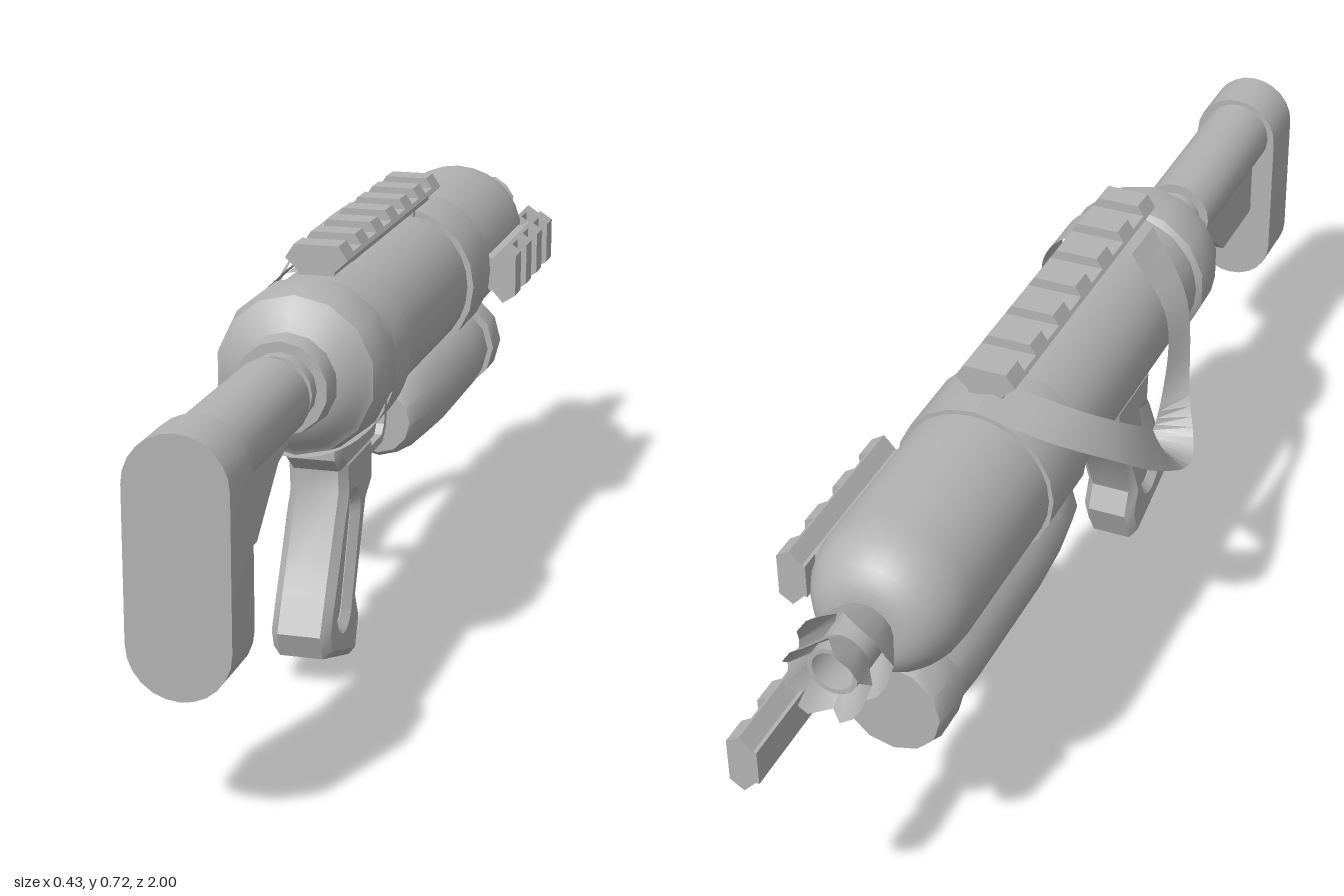
import * as THREE from 'three';
import { toCreasedNormals } from 'three/addons/utils/BufferGeometryUtils.js';

const CX = 0.025, AXIS_Y = 0.54;

export function createModel() {
  const model = new THREE.Group();
  const grey = new THREE.MeshStandardMaterial({ color: 0xb3b3b3 });
  grey.name = 'grey';
  grey.side = THREE.DoubleSide;

  const add = (name, geometry, x = 0, y = 0, z = 0, parent = model) => {
    const mesh = new THREE.Mesh(toCreasedNormals(geometry, 0.62), grey);
    mesh.name = name;
    mesh.position.set(x, y, z);
    parent.add(mesh);
    return mesh;
  };

  // Turned part along z; profile holds [radius, z] with z rising
  const turned = (name, profile, sides, y = AXIS_Y) => {
    const g = new THREE.LatheGeometry(profile.map(p => new THREE.Vector2(...p)), sides);
    g.rotateX(Math.PI / 2);
    return add(name, g, CX, y);
  };

  // Side outline of [z, y] points, given a width across x
  const outline = pts => new THREE.Shape(pts.map(p => new THREE.Vector2(...p)));
  const slab = (name, shape, width, bevel = 0) => {
    const depth = width - 2 * bevel;
    const g = new THREE.ExtrudeGeometry(shape, {
      depth, bevelEnabled: bevel > 0, bevelSize: bevel, bevelOffset: -bevel,
      bevelThickness: bevel, bevelSegments: 1, curveSegments: 8,
    });
    g.translate(0, 0, -depth / 2);
    g.rotateY(-Math.PI / 2);
    return add(name, g, CX);
  };

  // Upright or slanted capsule outline between two centres
  const capsule = (T, x0, y0, x1, y1, r) => {
    const a = Math.atan2(y1 - y0, x1 - x0);
    const s = new T();
    s.absarc(x1, y1, r, a - Math.PI / 2, a + Math.PI / 2, false);
    s.absarc(x0, y0, r, a + Math.PI / 2, a + Math.PI * 1.5, false);
    s.closePath();
    return s;
  };

  // Main barrel, front band and domed tank
  turned('body', [[0, -0.22], [0.127, -0.22], [0.127, 0.36], [0, 0.36]], 28);
  turned('frontBand', [[0.126, -0.34], [0.138, -0.34], [0.138, -0.2], [0.126, -0.2]], 20);
  const tank = [[0, -0.735], [0.05, -0.735]];
  for (let i = 1; i <= 7; i++) {
    const a = (i / 7) * Math.PI / 2;
    tank.push([0.05 + 0.08 * Math.sin(a), -0.625 - 0.11 * Math.cos(a)]);
  }
  tank.push([0.13, -0.32]);
  turned('tank', tank, 28);

  // Rear collar, stepped neck and stock tube
  turned('rearCollar', [[0.125, 0.33], [0.139, 0.34], [0.139, 0.39], [0.13, 0.435], [0.12, 0.44],
    [0.105, 0.46], [0.08, 0.472], [0.075, 0.51], [0, 0.51]], 14);
  turned('neck', [[0.058, 0.5], [0.058, 0.535], [0.047, 0.535], [0.047, 0.58]], 16);
  turned('stockTube', [[0, 0.565], [0.064, 0.565], [0.064, 0.91], [0, 0.91]], 20);

  // Shoulder stock
  slab('stockWeb', outline([[0.91, 0.374], [0.743, 0.374], [0.636, 0.462], [0.58, 0.478],
    [0.58, 0.51], [0.91, 0.51]]), 0.07);
  const butt = new THREE.ExtrudeGeometry(capsule(THREE.Shape, 0, 0.3, 0, 0.534, 0.079),
    { depth: 0.1, bevelEnabled: false, curveSegments: 6 });
  add('buttPlate', butt, CX + 0.002, 0, 0.9);

  // Flared muzzle: two jagged open funnels
  const funnel = (name, z, length, r0, r1, jag) => {
    const g = new THREE.CylinderGeometry(r0, r1, length, 16, 1, true);
    const p = g.attributes.position;
    for (let i = 0; i < p.count; i++) {
      if (p.getY(i) < 0 && Math.round((Math.atan2(p.getX(i), p.getZ(i)) / Math.PI) * 8) % 4 === 0) {
        p.setY(i, p.getY(i) + jag);
      }
    }
    g.rotateX(Math.PI / 2);
    g.computeVertexNormals();
    add(name, g, CX, AXIS_Y, z);
  };
  turned('muzzleTube', [[0.034, -0.84], [0.042, -0.84], [0.042, -0.72]], 16);
  funnel('muzzleFlare', -0.77, 0.08, 0.046, 0.078, 0.015);
  funnel('muzzleCrown', -0.84, 0.07, 0.042, 0.068, 0.03);

  // Accessory rails with evenly spaced teeth
  const rail = (name, teeth, x, y, z, sideways) => {
    const group = new THREE.Group();
    group.name = name;
    const bar = (part, pts, length, z0) => add(part, new THREE.ExtrudeGeometry(outline(pts),
      { depth: length, bevelEnabled: false }), 0, 0, z0, group);
    const pitch = 0.094, tooth = 0.046;
    bar('railBase', [[-0.03, -0.006], [0.03, -0.006], [0.03, 0], [0.052, 0.02],
      [0.048, 0.026], [-0.048, 0.026], [-0.052, 0.02], [-0.03, 0]], pitch * (teeth - 1) + tooth, 0);
    for (let i = 0; i < teeth; i++) {
      bar('railTooth', [[-0.052, 0.02], [0.052, 0.02], [0.037, 0.043], [-0.037, 0.043]], tooth, i * pitch);
    }
    group.position.set(x, y, z);
    if (sideways) group.rotation.z = -Math.PI / 2;
    model.add(group);
  };
  rail('topRail', 7, CX + 0.002, 0.681, -0.288, false);
  rail('sideRail', 4, 0.167, 0.533, -0.663, true);
  rail('frontRail', 4, 0.073, 0.47, -1, true);
  for (const z of [-0.22, 0.25]) add('railMount', new THREE.BoxGeometry(0.06, 0.04, 0.06), CX, 0.665, z);
  add('sideRailMount', new THREE.BoxGeometry(0.03, 0.06, 0.28), 0.157, 0.533, -0.49);

  // Canister slung below the tank
  turned('canister', [[0, -0.59], [0.079, -0.59], [0.084, -0.5], [0.084, -0.25], [0.078, -0.15],
    [0.066, -0.07], [0.058, -0.06], [0, -0.06]], 12, 0.322);
  turned('canisterCap', [[0, -0.665], [0.084, -0.665], [0.09, -0.65], [0.09, -0.585], [0, -0.585]], 12, 0.326);
  add('canisterMount', new THREE.BoxGeometry(0.05, 0.06, 0.4), CX, 0.405, -0.35);

  // Pistol grip with a sunken slot on both sides
  slab('gripBlock', outline([[0.345, 0.43], [0.12, 0.43], [0.12, 0.375], [0.14, 0.35],
    [0.32, 0.35], [0.345, 0.375]]), 0.1, 0.012);
  const gripShape = outline([[0.32, 0.37], [0.15, 0.37], [0.15, 0.285], [0.19, 0.26], [0.25, 0.12],
    [0.23, 0.075], [0.257, 0.008], [0.41, 0.058], [0.425, 0.1], [0.395, 0.16], [0.315, 0.31]]);
  gripShape.holes.push(capsule(THREE.Path, 0.328, 0.12, 0.275, 0.265, 0.03));
  slab('grip', gripShape, 0.1, 0.014);
  slab('gripSlotFloor', capsule(THREE.Shape, 0.328, 0.12, 0.275, 0.265, 0.045), 0.07);

  // Trigger and its guard
  slab('guardPlate', outline([[0.13, 0.4], [-0.06, 0.4], [-0.06, 0.425], [0.13, 0.425]]), 0.05);
  slab('triggerGuard', outline([[0.125, 0.41], [0.112, 0.32], [0.09, 0.298], [-0.02, 0.298],
    [-0.043, 0.32], [-0.055, 0.41], [-0.04, 0.41], [-0.03, 0.327], [-0.015, 0.312],
    [0.085, 0.312], [0.1, 0.327], [0.11, 0.41]]), 0.04);
  slab('trigger', outline([[0.075, 0.41], [0.065, 0.365], [0.045, 0.34], [0.015, 0.33],
    [0.017, 0.338], [0.038, 0.352], [0.05, 0.375], [0.045, 0.41]]), 0.025);

  // Cloth strap: a ribbon between two smooth edges
  const ribbon = (name, edgeA, edgeB, steps) => {
    const [a, b] = [edgeA, edgeB].map(e =>
      new THREE.CatmullRomCurve3(e.map(p => new THREE.Vector3(...p))));
    const pos = [], index = [];
    for (let i = 0; i <= steps; i++) {
      pos.push(...a.getPoint(i / steps).toArray(), ...b.getPoint(i / steps).toArray());
      if (i < steps) {
        const k = i * 2;
        index.push(k, k + 1, k + 2, k + 1, k + 3, k + 2);
      }
    }
    const g = new THREE.BufferGeometry();
    g.setAttribute('position', new THREE.Float32BufferAttribute(pos, 3));
    g.setIndex(index);
    g.computeVertexNormals();
    add(name, g);
  };
  ribbon('hangingStrap',
    [[0.02, 0.682, -0.345], [-0.1, 0.652, -0.335], [-0.178, 0.58, -0.25], [-0.21, 0.48, -0.12],
      [-0.21, 0.4, 0.04], [-0.165, 0.46, 0.14], [-0.118, 0.585, 0.24], [-0.03, 0.675, 0.3]],
    [[0.02, 0.682, -0.25], [-0.1, 0.648, -0.23], [-0.155, 0.59, -0.16], [-0.165, 0.5, -0.04],
      [-0.122, 0.396, 0.06], [-0.13, 0.46, 0.09], [-0.112, 0.585, 0.16], [-0.03, 0.675, 0.2]], 48);

  // Strap wrapped diagonally round the rear of the body
  const wrapA = [], wrapB = [];
  for (let i = 0; i <= 12; i++) {
    const t = i / 12, a = Math.PI * (0.62 - 1.25 * t);
    const x = CX + 0.145 * Math.cos(a), y = AXIS_Y + 0.14 * Math.sin(a);
    wrapA.push([x, y, 0.3 + 0.13 * t]);
    wrapB.push([x, y, 0.2 + 0.14 * t]);
  }
  ribbon('wrappedStrap', wrapA, wrapB, 36);

  return model;
}
